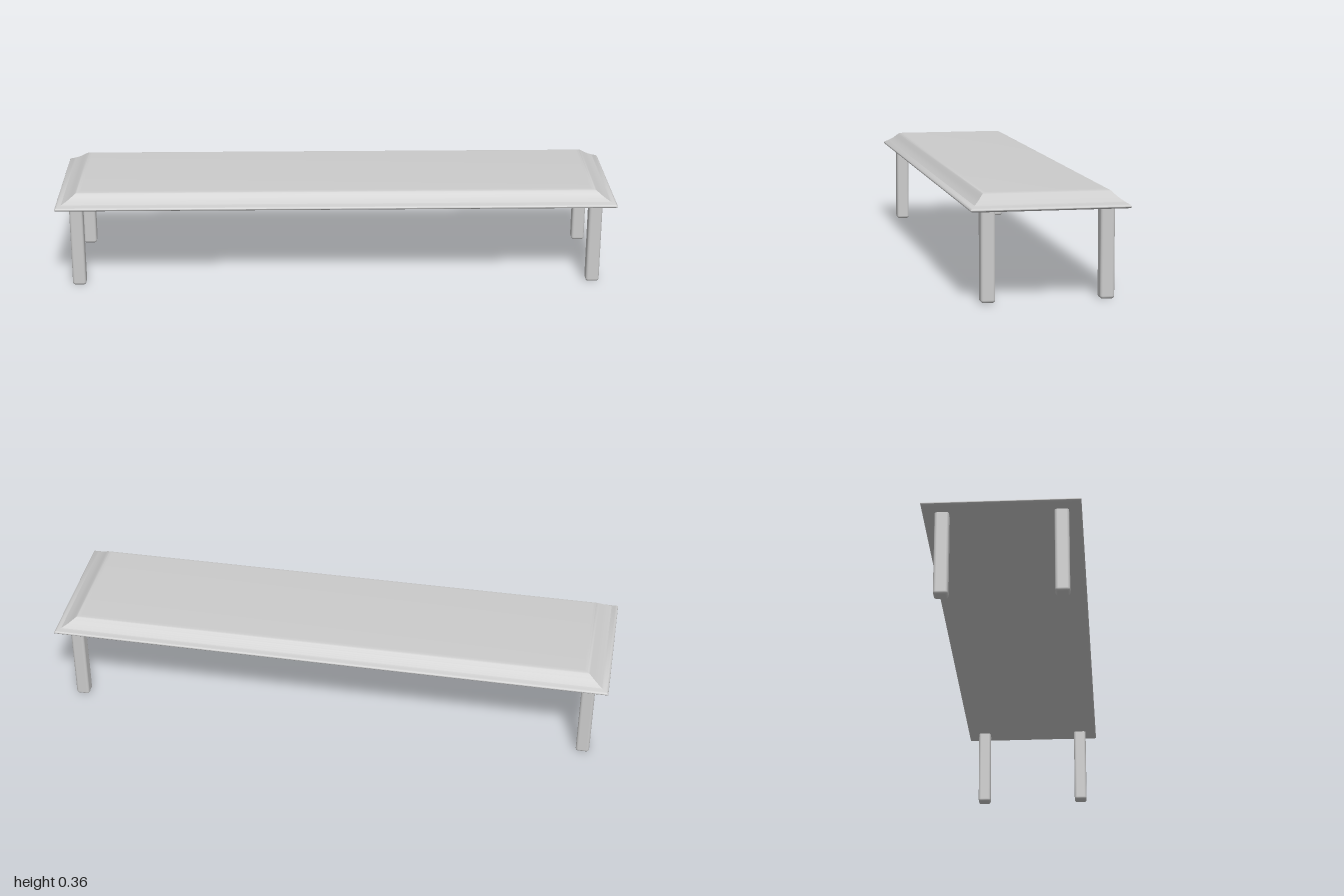
import * as THREE from 'three';
import { toCreasedNormals } from 'three/addons/utils/BufferGeometryUtils.js';
import { RoundedBoxGeometry } from 'three/addons/geometries/RoundedBoxGeometry.js';

const material = new THREE.MeshStandardMaterial({ color: 0xcccccc });
const HALF_X = 1, HALF_Z = 0.263;

// Edge moulding as (inset from the rim, height), from the top face to the underside
const moulding = new THREE.SplineCurve([
  [0.066, 0.356], [0.058, 0.355], [0.051, 0.351], [0.034, 0.334], [0.017, 0.321],
  [0.004, 0.313], [0, 0.308], [0.004, 0.303], [0.016, 0.3], [0.06, 0.298],
].map(([d, y]) => new THREE.Vector2(d, y))).getPoints(27);

// Mitred slab: one rectangular ring per moulding point, capped above and below
function topGeometry() {
  const positions = [], index = [];
  for (const { x: d, y } of moulding) {
    const hx = HALF_X - d * 1.4, hz = HALF_Z - d;
    positions.push(hx, y, hz, hx, y, -hz, -hx, y, -hz, -hx, y, hz);
  }
  const rings = moulding.length, last = (rings - 1) * 4;
  const topCentre = rings * 4, bottomCentre = topCentre + 1;
  positions.push(0, 0.356, 0, 0, 0.293, 0);
  for (let i = 0; i < 4; i++) {
    const j = (i + 1) % 4;
    for (let r = 0; r < rings - 1; r++) {
      const a = r * 4, b = a + 4;
      index.push(a + i, b + i, b + j, a + i, b + j, a + j);
    }
    index.push(topCentre, i, j, bottomCentre, last + j, last + i);
  }
  const geometry = new THREE.BufferGeometry();
  geometry.setAttribute('position', new THREE.Float32BufferAttribute(positions, 3));
  geometry.setIndex(index);
  return toCreasedNormals(geometry, 0.7);
}

export function createModel() {
  const group = new THREE.Group();
  group.name = 'lowTable';

  const top = new THREE.Mesh(topGeometry(), material);
  top.name = 'tableTop';
  group.add(top);

  // Square legs with softened edges, running slightly into the top
  const legGeometry = new RoundedBoxGeometry(0.048, 0.308, 0.048, 4, 0.01);
  for (const [sx, side] of [[1, 'Left'], [-1, 'Right']]) {
    for (const [sz, end] of [[1, 'front'], [-1, 'back']]) {
      const leg = new THREE.Mesh(legGeometry, material);
      leg.name = `${end}${side}Leg`;
      leg.position.set(sx * 0.929, 0.154, sz * 0.197);
      group.add(leg);
    }
  }
  return group;
}
